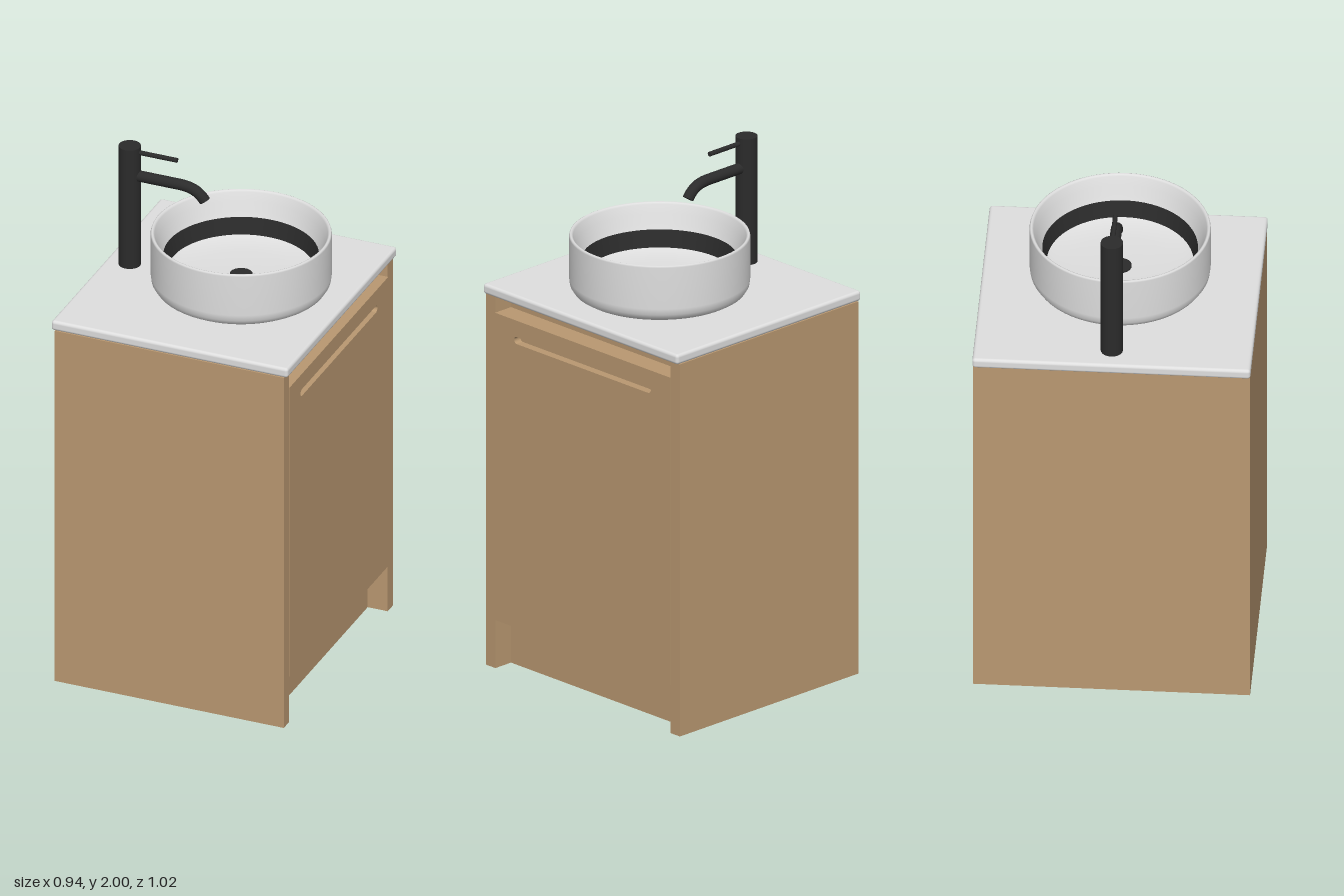
import * as THREE from 'three';
import { RoundedBoxGeometry } from 'three/addons/geometries/RoundedBoxGeometry.js';

export function createModel() {
  const root = new THREE.Group();
  root.name = 'vanityUnit';
  const mat = (name, color, side = THREE.FrontSide) => {
    const m = new THREE.MeshStandardMaterial({ color, side });
    m.name = name;
    return m;
  };
  const wood = mat('wood', 0xb99871);
  const ceramic = mat('ceramic', 0xdedede, THREE.DoubleSide);
  const black = mat('matte black', 0x2b2b2b, THREE.DoubleSide);

  const add = (name, geo, material, x = 0, y = 0, z = 0, parent = root) => {
    const m = new THREE.Mesh(geo, material);
    m.name = name;
    m.position.set(x, y, z);
    parent.add(m);
    return m;
  };
  // Box given by its minimum and maximum corners
  const box = (name, a, b, material, parent) => add(name,
    new THREE.BoxGeometry(b[0] - a[0], b[1] - a[1], b[2] - a[2]), material,
    (a[0] + b[0]) / 2, (a[1] + b[1]) / 2, (a[2] + b[2]) / 2, parent);

  // Cabinet: side panels, recessed carcass, and a door facing +x
  const cabinet = new THREE.Group();
  cabinet.name = 'cabinet';
  root.add(cabinet);
  const back = -0.46, face = 0.455, inner = 0.46, outer = 0.51, top = 1.465;
  box('leftSidePanel', [back, 0, inner], [face, top, outer], wood, cabinet);
  box('rightSidePanel', [back, 0, -outer], [face, top, -inner], wood, cabinet);
  box('carcass', [back, 0, -inner], [0.375, top, inner], wood, cabinet);
  box('doorBacking', [0.375, 0.19, -inner], [0.425, 1.4, inner], wood, cabinet);

  // Door front with a rounded finger slot cut through it
  const door = new THREE.Shape();
  door.moveTo(-inner, 0.19);
  door.lineTo(inner, 0.19);
  door.lineTo(inner, 1.4);
  door.lineTo(-inner, 1.4);
  door.closePath();
  const slot = new THREE.Path();
  slot.absarc(0.345, 1.322, 0.014, Math.PI / 2, -Math.PI / 2, true);
  slot.absarc(-0.345, 1.322, 0.014, -Math.PI / 2, -Math.PI * 1.5, true);
  slot.closePath();
  door.holes.push(slot);
  const doorGeo = new THREE.ExtrudeGeometry(door, { depth: 0.032, bevelEnabled: false, curveSegments: 10 });
  doorGeo.rotateY(Math.PI / 2);
  add('door', doorGeo, wood, 0.425, 0, 0, cabinet);

  // Countertop with softened edges
  add('countertop', new RoundedBoxGeometry(0.945, 0.04, 1.024, 3, 0.012), ceramic, -0.002, 1.485, 0);

  // Basin: outer shell and rim, black band, bowl floor, drain
  const basin = new THREE.Group();
  basin.name = 'basin';
  basin.position.set(0.065, 1.505, -0.004);
  root.add(basin);
  const lathe = (name, pts, material) => add(name,
    new THREE.LatheGeometry(pts.map(p => new THREE.Vector2(p[0], p[1])), 72), material, 0, 0, 0, basin);
  lathe('basinShell', [
    [0, 0], [0.27, 0], [0.298, 0.005], [0.318, 0.017], [0.33, 0.036], [0.333, 0.06],
    [0.333, 0.222], [0.331, 0.228], [0.327, 0.23], [0.322, 0.228], [0.318, 0.222],
    [0.306, 0.19], [0.294, 0.155], [0.286, 0.135],
  ], ceramic);
  lathe('basinBand', [[0.286, 0.135], [0.27, 0.07]], black);
  lathe('bowlFloor', [[0.27, 0.07], [0.24, 0.06], [0.18, 0.053], [0.09, 0.049], [0, 0.048]], ceramic);
  add('drain', new THREE.CylinderGeometry(0.042, 0.042, 0.008, 32), black, 0, 0.051, 0, basin);

  // Tall tap: column, curved spout and thin lever
  const tap = new THREE.Group();
  tap.name = 'tap';
  tap.position.set(-0.38, 0, -0.004);
  root.add(tap);
  add('tapColumn', new THREE.CylinderGeometry(0.041, 0.041, 0.495, 36), black, 0, 1.7525, 0, tap);
  const path = new THREE.CurvePath();
  const v = (x, y) => new THREE.Vector3(x, y, 0);
  path.add(new THREE.LineCurve3(v(0, 1.88), v(0.19, 1.88)));
  path.add(new THREE.CubicBezierCurve3(v(0.19, 1.88), v(0.24, 1.88), v(0.272, 1.872), v(0.3, 1.832)));
  add('spout', new THREE.TubeGeometry(path, 40, 0.021, 20), black, 0, 0, 0, tap);
  const outlet = add('spoutOutlet', new THREE.CircleGeometry(0.021, 20), black, 0.3, 1.832, 0, tap);
  outlet.quaternion.setFromUnitVectors(new THREE.Vector3(0, 0, 1), path.getTangent(1));
  const lever = add('lever', new THREE.CylinderGeometry(0.009, 0.009, 0.19, 16), black, 0.095, 1.978, 0, tap);
  lever.rotation.z = Math.PI / 2;

  return root;
}
